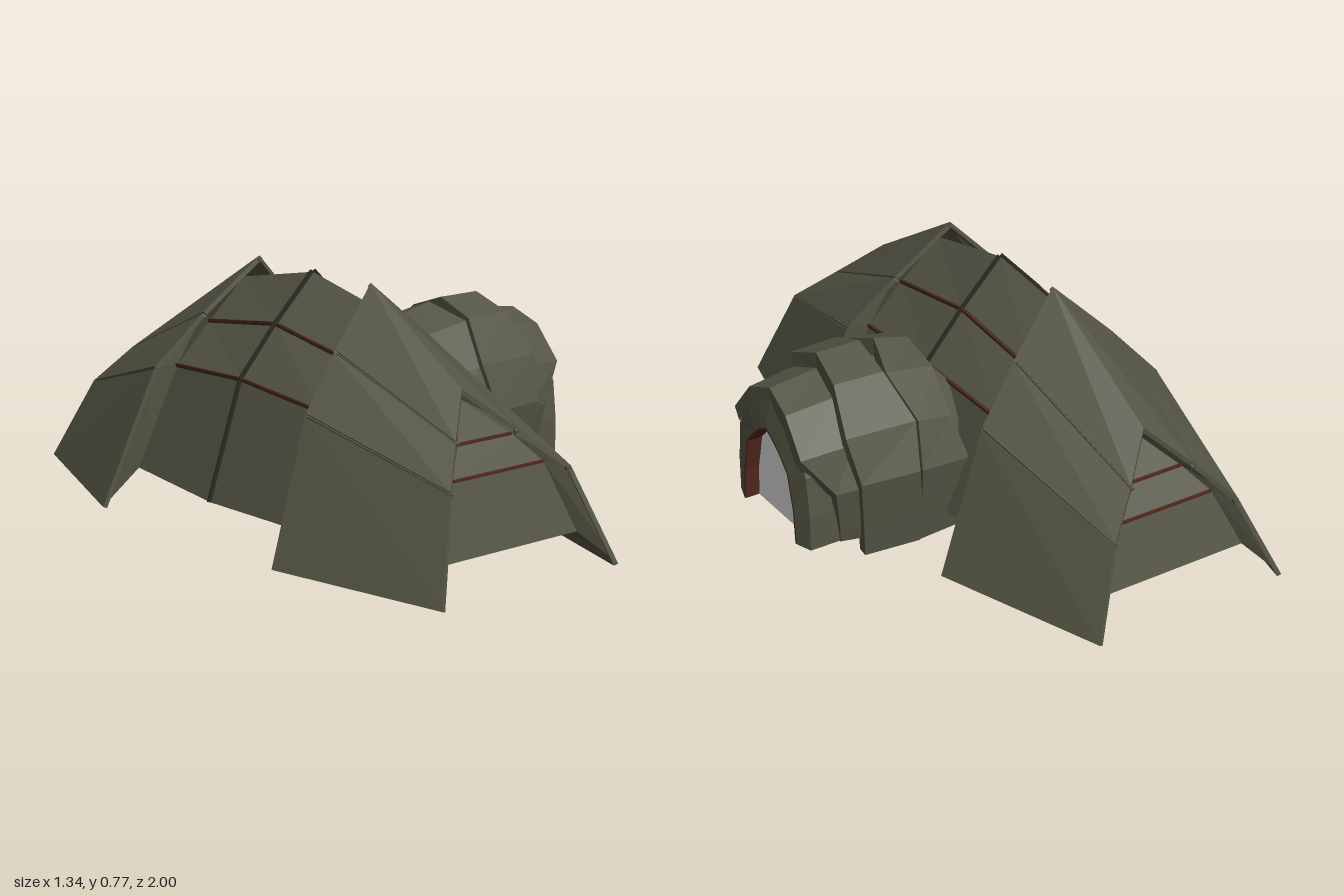
import * as THREE from 'three';

const V = (x, y, z) => new THREE.Vector3(x, y, z);
const material = (name, color) => {
  const m = new THREE.MeshStandardMaterial({ color, side: THREE.DoubleSide, flatShading: true });
  m.name = name;
  return m;
};

// Flat-faced geometry from a list of quads (four corners each)
function quads(list) {
  const pos = [];
  for (const [a, b, c, d] of list) for (const p of [a, b, c, a, c, d]) pos.push(p.x, p.y, p.z);
  const g = new THREE.BufferGeometry();
  g.setAttribute('position', new THREE.Float32BufferAttribute(pos, 3));
  g.computeVertexNormals();
  return g;
}

// Skin stretched over a series of open rings
function loft(rings) {
  const list = [];
  for (let i = 0; i + 1 < rings.length; i++)
    for (let j = 0; j + 1 < rings[i].length; j++)
      list.push([rings[i][j], rings[i][j + 1], rings[i + 1][j + 1], rings[i + 1][j]]);
  return quads(list);
}

// Solid panel: four outer corners pushed inward by a thickness
function panel(a, b, c, d, t) {
  const n = b.clone().sub(a).cross(d.clone().sub(a)).normalize();
  if (n.y < 0) n.negate();
  const o = [a, b, c, d], q = o.map((p) => p.clone().addScaledVector(n, -t));
  const list = [o, q];
  for (let i = 0; i < 4; i++) list.push([o[i], o[(i + 1) % 4], q[(i + 1) % 4], q[i]]);
  return quads(list);
}

export function createModel() {
  const olive = material('olive plating', 0x545544);
  const dark = material('dark seam', 0x2b2a21);
  const rust = material('rust trim', 0x52281c);
  const pale = material('pale door', 0xe6e6e6);
  const model = new THREE.Group();

  const add = (parent, name, geo, mat) => {
    const m = new THREE.Mesh(geo, mat);
    m.name = name;
    parent.add(m);
    return m;
  };
  const bar = (parent, name, a, b, w, h, mat) => {
    const m = new THREE.Mesh(new THREE.BoxGeometry(w, h, a.distanceTo(b)), mat);
    m.name = name;
    m.position.copy(a).add(b).multiplyScalar(0.5);
    m.lookAt(b);
    parent.add(m);
  };
  const path = (parent, name, pts, w, h, mat) => {
    for (let i = 0; i + 1 < pts.length; i++) bar(parent, name, pts[i], pts[i + 1], w, h, mat);
  };

  // Main hall: arched hull running front to back, open underneath
  const hall = new THREE.Group();
  hall.name = 'hall';
  hall.position.x = -0.17;
  model.add(hall);

  const mirror = (half) => [
    ...half.slice(1).reverse().map((p) => V(-p.x, p.y, p.z)), ...half];
  const middle = mirror([V(0, 0.755, 0), V(0.14, 0.612, 0), V(0.27, 0.46, 0), V(0.39, 0.1, 0)]);
  const quarter = (s) => mirror([V(0, 0.685, s * 0.36), V(0.135, 0.56, s * 0.36),
    V(0.258, 0.435, s * 0.36), V(0.37, 0.11, s * 0.42)]);
  const end = (s) => {
    const d = s < 0 ? 0.03 : 0;
    return mirror([V(0, 0.495 - d, s * 0.68), V(0.1, 0.4 - d, s * 0.79),
      V(0.17, 0.32 - d, s * 0.85), V(0.25, 0.11, s * 0.91)]);
  };
  const rings = [end(1), quarter(1), middle, quarter(-1), end(-1)];
  add(hall, 'hull', loft(rings), olive);
  path(hall, 'centreRib', middle, 0.008, 0.022, dark);
  for (const j of [1, 2, 4, 5]) {
    const line = rings.slice(1, 4).map((r) => r[j]);
    path(hall, 'hullSeam', line, 0.01, 0.01, dark);
    path(hall, 'hullTrim', line.map((p) => p.clone().add(V(j < 3 ? -0.004 : 0.004, 0.004, 0))),
      0.007, 0.007, rust);
  }

  // End walls closing the hull, with trim lines
  for (const r of [rings[0], rings[4]]) {
    add(hall, 'endWall', quads([0, 1, 2].map((j) => [r[j], r[6 - j], r[5 - j], r[j + 1]])), olive);
    for (const j of [1, 2]) bar(hall, 'endWallTrim', r[j], r[6 - j], 0.008, 0.008, rust);
  }

  // Flared roof shells over each end: three armour plates per side
  const shells = [
    { s: 1, near: rings[1], far: rings[0],
      inner: [V(0, 0.765, 0.28), V(0.178, 0.595, 0.335), V(0.323, 0.44, 0.385), V(0.48, 0.02, 0.43)],
      outer: [V(0, 0.525, 0.69), V(0.118, 0.412, 0.802), V(0.225, 0.31, 0.905), V(0.33, 0.02, 1)] },
    { s: -1, near: rings[3], far: rings[4],
      inner: [V(0, 0.765, 0.275), V(0.178, 0.595, 0.335), V(0.325, 0.435, 0.385), V(0.5, 0.003, 0.43)],
      outer: [V(0, 0.5, 0.735), V(0.118, 0.388, 0.835), V(0.225, 0.275, 0.91), V(0.335, 0.02, 1)] },
  ];
  for (const { s, near, far, inner, outer } of shells) {
    for (const side of [-1, 1]) {
      const at = (p) => V(p.x * side, p.y, p.z * s);
      for (let i = 0; i < 3; i++) {
        const g0 = i === 0 ? 0 : 0.02, g1 = i === 2 ? 1 : 0.98;
        const mix = (row, t) => at(row[i].clone().lerp(row[i + 1], t));
        add(hall, 'shellPlate',
          panel(mix(inner, g0), mix(inner, g1), mix(outer, g1), mix(outer, g0), 0.014), olive);
      }
      for (const i of [1, 2]) {
        const sink = V(-0.008 * side, -0.01, 0);
        bar(hall, 'shellGroove', at(inner[i]).add(sink), at(outer[i]).add(sink), 0.012, 0.012, olive);
      }
      // Rim faces joining the shell's border back to the hull, including its foot
      const hullHalf = (r) => [0, 1, 2, 3].map((i) => r[3 + side * i]);
      const rim = [...inner, ...outer.slice().reverse()].map(at);
      const base = [...hullHalf(near), ...hullHalf(far).reverse()];
      add(hall, 'shellRim', loft([rim, base]), olive);
    }
  }

  // Entrance tunnel: overlapping arched ribs. Each point is [half width, height]
  const tunnel = new THREE.Group();
  tunnel.name = 'tunnel';
  model.add(tunnel);
  const arch = [[0.27, 0.035], [0.285, 0.15], [0.305, 0.3], [0.25, 0.44], [0.135, 0.565], [0, 0.612]];
  const shortArch = [[0.275, 0.09], ...arch.slice(1)];
  const ring = (profile, xs, sz, sy) => {
    const half = profile.map(([z, y], i) =>
      V(Array.isArray(xs) ? xs[i] : xs, 0.09 + (y - 0.09) * sy, z * sz));
    return [...half, ...half.slice(0, -1).reverse().map((p) => V(p.x, p.y, -p.z))];
  };
  const rib = (name, profile, back, front, b, f) => add(tunnel, name, loft([
    ring(profile, back, b[0] * 0.88, b[1] * 0.88), ring(profile, back, b[0], b[1]),
    ring(profile, front, f[0], f[1]), ring(profile, front, f[0] * 0.88, f[1] * 0.88)]), olive);
  rib('innerRib', arch, [0.095, 0.09, 0.085, 0.09, 0.1, 0.13], [0.2, 0.2, 0.2, 0.2, 0.2, 0.2],
    [0.8, 0.78], [0.88, 0.86]);
  rib('secondRib', arch, [0.15, 0.15, 0.14, 0.17, 0.165, 0.17], [0.3, 0.3, 0.31, 0.29, 0.33, 0.29],
    [0.96, 0.93], [0.99, 0.985]);
  rib('thirdRib', arch, [0.3, 0.3, 0.32, 0.3, 0.34, 0.34], [0.485, 0.495, 0.51, 0.53, 0.505, 0.49],
    [1, 1], [0.93, 1]);
  rib('outerRib', shortArch, [0.47, 0.48, 0.49, 0.5, 0.49, 0.48], [0.55, 0.555, 0.575, 0.665, 0.66, 0.65],
    [0.88, 0.905], [0.8, 0.865]);
  // Lining reaching through into the hall, open underneath
  add(tunnel, 'tunnelLining', loft([ring(shortArch, -0.16, 0.74, 0.7), ring(shortArch, 0.13, 0.72, 0.7),
    ring(shortArch, 0.25, 0.87, 0.87), ring(shortArch, 0.45, 0.84, 0.87),
    ring(shortArch, 0.56, 0.74, 0.76)]), olive);

  // Door surround, rust jamb and recessed door
  const frame = [[0.215, 0.09], [0.215, 0.2], [0.2, 0.33], [0.15, 0.42], [0.08, 0.48], [0, 0.51]];
  const lip = [[0.16, 0.09], [0.152, 0.2], [0.122, 0.318], [0.075, 0.365], [0.035, 0.395], [0, 0.413]];
  const opening = lip.map(([z, y]) => [z * 0.96, 0.09 + (y - 0.09) * 0.975]);
  add(tunnel, 'doorSurround', loft([ring(frame, 0.5, 1, 1), ring(frame, 0.65, 1, 1),
    ring(lip, 0.668, 1, 1)]), olive);
  add(tunnel, 'doorJamb', loft([ring(lip, 0.668, 1, 1), ring(opening, 0.668, 1, 1),
    ring(opening, 0.615, 1, 1)]), rust);
  const leaf = ring(opening, 0.62, 1, 1);
  add(tunnel, 'door', quads([0, 1, 2, 3, 4].map((j) => [leaf[j], leaf[10 - j], leaf[9 - j], leaf[j + 1]])), pale);

  return model;
}
